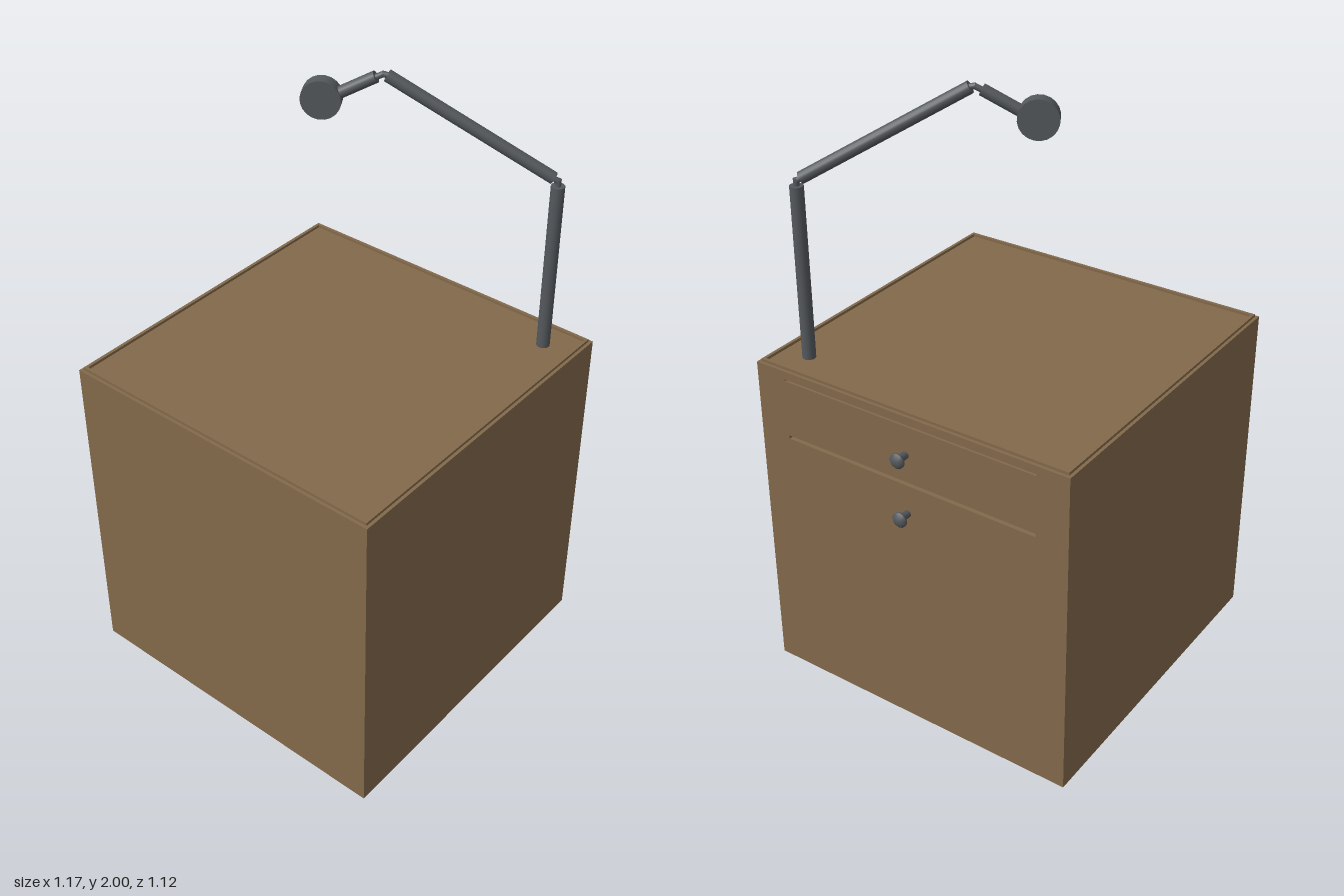
import * as THREE from 'three';

export function createModel() {
  const model = new THREE.Group();
  const wood = new THREE.MeshStandardMaterial({ color: 0x82694b });
  wood.name = 'brown wood';
  const metal = new THREE.MeshStandardMaterial({ color: 0x54585c });
  metal.name = 'grey metal';

  const add = (name, geometry, material, x = 0, y = 0, z = 0) => {
    const mesh = new THREE.Mesh(geometry, material);
    mesh.name = name;
    mesh.position.set(x, y, z);
    model.add(mesh);
    return mesh;
  };
  const rectangle = (Type, w, h, cx = 0, cy = 0) => new Type([
    [-w, -h], [w, -h], [w, h], [-w, h],
  ].map(([x, y]) => new THREE.Vector2(cx + x / 2, cy + y / 2)));

  // Cabinet body
  const left = -0.584, right = 0.531, depth = 1.116, height = 1.12, panel = 0.02;
  const midX = (left + right) / 2, width = right - left;
  add('cabinetBody', new THREE.BoxGeometry(width - panel, height, depth), wood,
    midX - panel / 2, height / 2, 0);

  // Drawer side panel with two finger slots
  const face = rectangle(THREE.Shape, depth, height, 0, height / 2);
  face.holes.push(rectangle(THREE.Path, 0.9, 0.006, 0, 1.09));
  face.holes.push(rectangle(THREE.Path, 0.9, 0.012, 0, 0.89));
  const front = add('drawerPanel',
    new THREE.ExtrudeGeometry(face, { depth: panel, bevelEnabled: false }), wood, right - panel, 0, 0);
  front.rotation.y = Math.PI / 2;

  // Low raised rim around the top
  const rim = rectangle(THREE.Shape, width - 0.02, depth - 0.02);
  rim.holes.push(rectangle(THREE.Path, width - 0.04, depth - 0.04));
  const rimMesh = add('topRim',
    new THREE.ExtrudeGeometry(rim, { depth: 0.009, bevelEnabled: false }), wood, midX, height, 0);
  rimMesh.rotation.x = -Math.PI / 2;

  // Drawer knobs
  const knobProfile = [[0.012, -0.01], [0.012, 0.026], [0.025, 0.035], [0.025, 0.042], [0.014, 0.052], [0, 0.052]]
    .map(([r, y]) => new THREE.Vector2(r, y));
  const knobGeometry = new THREE.LatheGeometry(knobProfile, 12);
  for (const y of [0.99, 0.785]) {
    add('drawerKnob', knobGeometry, metal, right, y, 0).rotation.z = -Math.PI / 2;
  }

  // Lamp lies in one slanted vertical plane: s runs from the pole towards the head
  const at = (s, y) => new THREE.Vector3(0.42 - 0.5 * s, y, 0.447 - 0.866 * s);
  const up = new THREE.Vector3(0, 1, 0);
  const rod = (name, a, b, radius) => {
    const axis = b.clone().sub(a);
    const mesh = add(name, new THREE.CylinderGeometry(radius, radius, axis.length(), 16), metal);
    mesh.position.copy(a).add(b).multiplyScalar(0.5);
    mesh.quaternion.setFromUnitVectors(up, axis.normalize());
  };
  rod('lampPole', at(0, 1.1), at(0, 1.678), 0.021);
  rod('lowerJoint', at(0, 1.67), at(0, 1.7), 0.009);
  rod('lowerJointArm', at(0, 1.692), at(0.03, 1.712), 0.009);
  rod('longArm', at(0.014, 1.702), at(0.5, 1.983), 0.019);
  rod('upperJoint', at(0.49, 1.982), at(0.515, 1.987), 0.009);
  rod('upperJointArm', at(0.51, 1.987), at(0.545, 1.969), 0.009);
  rod('shortArm', at(0.532, 1.977), at(0.65, 1.912), 0.018);

  // Round lamp head, its flat sides facing across the arm
  const head = add('lampHead', new THREE.CylinderGeometry(0.06, 0.06, 0.042, 20), metal);
  head.position.copy(at(0.688, 1.9));
  head.quaternion.setFromUnitVectors(up, new THREE.Vector3(0.866, 0, -0.5));

  return model;
}
